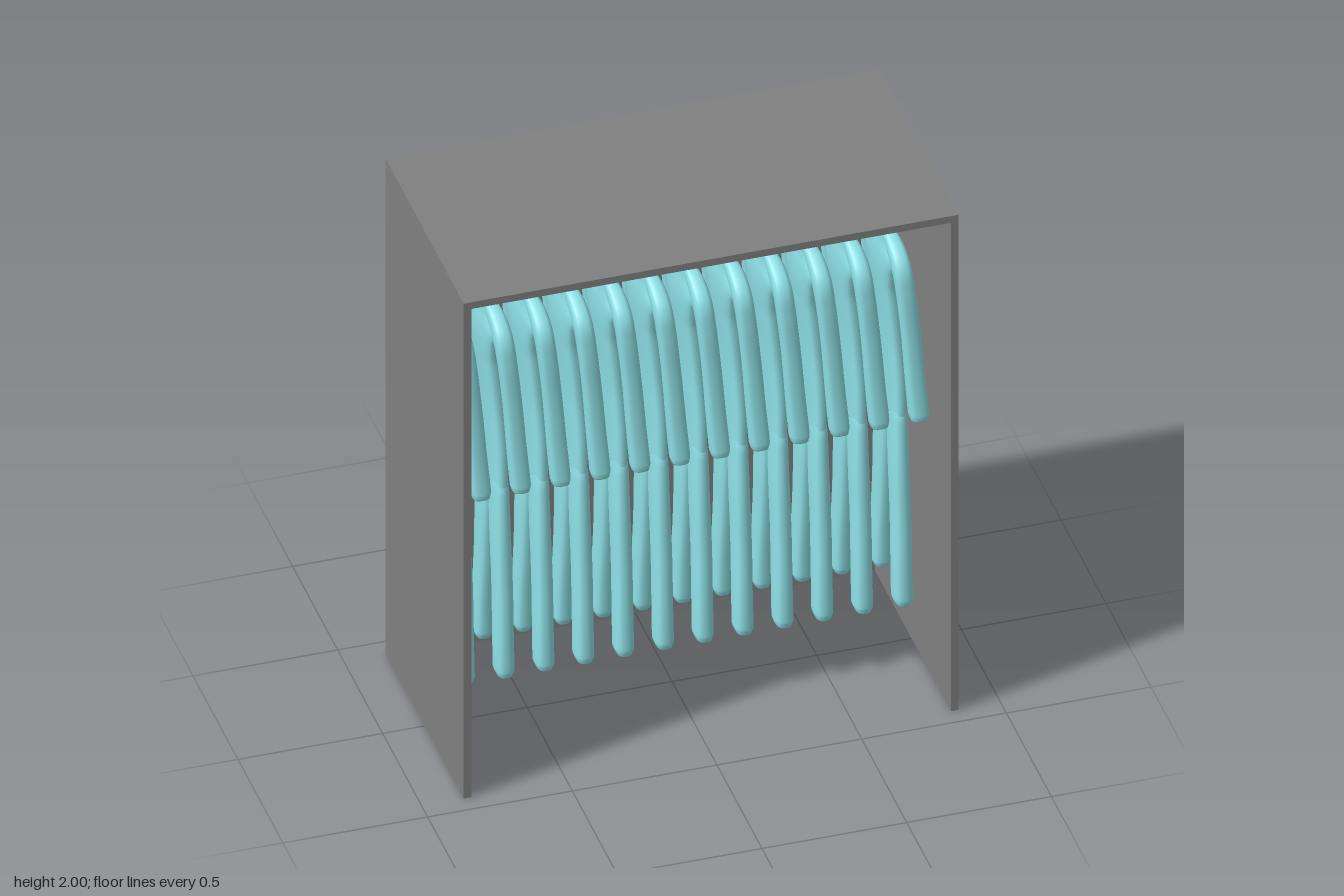
import * as THREE from 'three';

const darkGrey = new THREE.MeshStandardMaterial({ color: 0x808080 });
const cloth = new THREE.MeshStandardMaterial({ color: 0x8ee0e6 });

// Closed soft tube. Rows: [x, y, z, half thickness in x, half width across], from top to bottom.
function loft(rows, steps = 36, sides = 20, power = 0.75) {
  const path = new THREE.CatmullRomCurve3(rows.map(r => new THREE.Vector3(r[0], r[1], r[2])));
  const size = new THREE.CatmullRomCurve3(rows.map(r => new THREE.Vector3(r[3], r[4], 0)));
  const pos = [], index = [], xAxis = new THREE.Vector3(1, 0, 0);
  const soft = v => Math.sign(v) * Math.abs(v) ** power;
  for (let i = 0; i <= steps; i++) {
    const u = i / steps, p = path.getPoint(u), s = size.getPoint(u);
    const w = path.getTangent(u).cross(xAxis).normalize();
    for (let j = 0; j < sides; j++) {
      const a = (j / sides) * Math.PI * 2;
      const q = p.clone().addScaledVector(xAxis, s.x * soft(Math.cos(a)))
        .addScaledVector(w, s.y * soft(Math.sin(a)));
      pos.push(q.x, q.y, q.z);
    }
  }
  for (let i = 0; i < steps; i++) {
    for (let j = 0; j < sides; j++) {
      const k = (j + 1) % sides;
      const a = i * sides + j, b = i * sides + k, c = a + sides, d = b + sides;
      index.push(a, b, c, b, d, c);
    }
  }
  // end caps
  const top = pos.length / 3, last = steps * sides;
  pos.push(...path.getPoint(0).toArray(), ...path.getPoint(1).toArray());
  for (let j = 0; j < sides; j++) {
    const k = (j + 1) % sides;
    index.push(top, k, j, top + 1, last + j, last + k);
  }
  const g = new THREE.BufferGeometry();
  g.setAttribute('position', new THREE.Float32BufferAttribute(pos, 3));
  g.setIndex(index);
  g.computeVertexNormals();
  return g;
}

function addMesh(parent, name, geometry, material, x = 0, y = 0, z = 0) {
  const m = new THREE.Mesh(geometry, material);
  m.name = name;
  m.position.set(x, y, z);
  parent.add(m);
  return m;
}

export function createModel() {
  const model = new THREE.Group();
  model.name = 'wardrobe';
  const W = 1.71, H = 2, D = 0.87, T = 0.027;

  // open cabinet: back, sides and top
  const cabinet = new THREE.Group();
  cabinet.name = 'cabinet';
  model.add(cabinet);
  addMesh(cabinet, 'topPanel', new THREE.BoxGeometry(W, T, D), darkGrey, 0, H - T / 2, 0);
  addMesh(cabinet, 'backPanel', new THREE.BoxGeometry(W - 2 * T, H - T, T), darkGrey, 0, (H - T) / 2, -D / 2 + T / 2);
  for (const s of [-1, 1]) {
    addMesh(cabinet, s > 0 ? 'leftPanel' : 'rightPanel',
      new THREE.BoxGeometry(T, H - T, D), darkGrey, s * (W - T) / 2, (H - T) / 2, 0);
  }

  // hanging rail
  const rail = addMesh(model, 'hangingRail', new THREE.CylinderGeometry(0.015, 0.015, W - 2 * T, 16), darkGrey, 0, 1.847, 0);
  rail.rotation.z = Math.PI / 2;

  // torso, collar to hips
  const torso = loft([
    [-0.053, 1.77, 0, 0.015, 0.088], [-0.049, 1.757, 0, 0.023, 0.1], [-0.038, 1.73, 0, 0.025, 0.09],
    [-0.027, 1.69, 0, 0.031, 0.12], [-0.028, 1.63, 0, 0.036, 0.15], [-0.03, 1.57, 0, 0.035, 0.13],
    [-0.024, 1.48, 0, 0.033, 0.11], [-0.008, 1.3, 0, 0.031, 0.108], [0, 1.1, 0, 0.029, 0.122],
    [0, 0.98, 0, 0.027, 0.125], [0, 0.93, 0, 0.02, 0.1],
  ], 56, 28, 0.7);

  // sleeves, shoulder to cuff
  const sleeve = s => loft([
    [-0.033, 1.72, s * 0.075, 0.022, 0.02], [-0.026, 1.69, s * 0.13, 0.029, 0.03],
    [-0.021, 1.64, s * 0.183, 0.032, 0.035], [-0.013, 1.56, s * 0.201, 0.032, 0.032],
    [0.002, 1.4, s * 0.209, 0.032, 0.03], [0.014, 1.22, s * 0.218, 0.033, 0.031],
    [0.024, 1.08, s * 0.227, 0.034, 0.033], [0.025, 1.055, s * 0.229, 0.029, 0.029],
  ]);

  // trouser legs, hip to hem
  const leg = s => loft([
    [0, 1.03, s * 0.062, 0.022, 0.05], [0, 0.96, s * 0.067, 0.027, 0.064],
    [0, 0.8, s * 0.08, 0.029, 0.062], [0.002, 0.6, s * 0.096, 0.031, 0.054],
    [0, 0.4, s * 0.113, 0.032, 0.05], [0, 0.275, s * 0.12, 0.033, 0.048], [0, 0.25, s * 0.121, 0.026, 0.041],
  ]);

  // geometries shared by every garment, with a thin hook ring round the rail
  const garmentParts = {
    torso,
    frontSleeve: sleeve(1), backSleeve: sleeve(-1),
    frontLeg: leg(1), backLeg: leg(-1),
  };
  const hook = new THREE.TorusGeometry(0.017, 0.002, 6, 20).rotateY(Math.PI / 2);

  // row of identical garments
  const count = 12, span = 1.514;
  for (let i = 0; i < count; i++) {
    const garment = new THREE.Group();
    garment.name = `garment${i + 1}`;
    garment.position.x = -span / 2 + (span * i) / (count - 1);
    for (const [name, geometry] of Object.entries(garmentParts)) addMesh(garment, name, geometry, cloth);
    addMesh(garment, 'hangerHook', hook, darkGrey, -0.05, 1.847, 0);
    model.add(garment);
  }
  return model;
}
